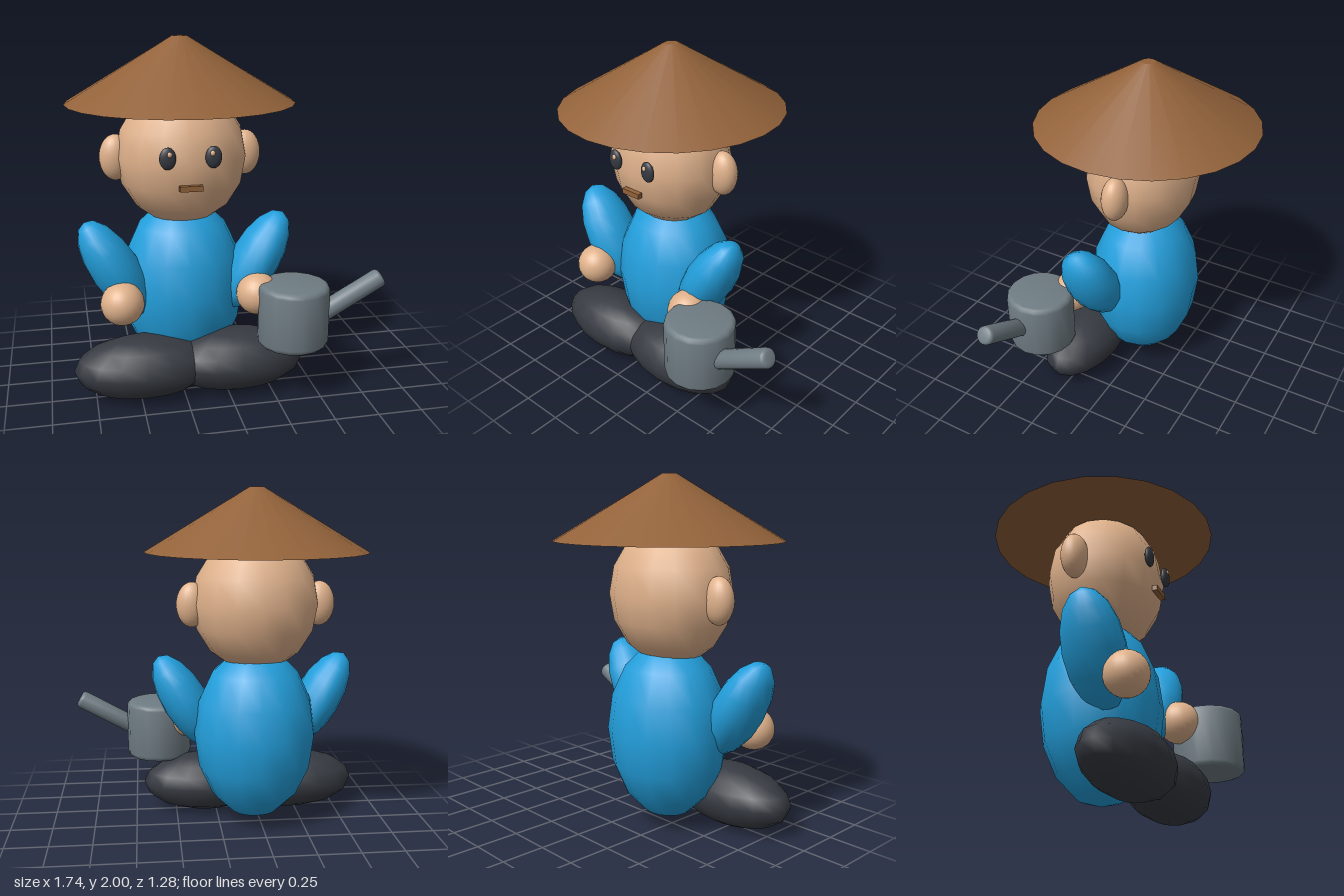
import * as THREE from 'three';
import { toCreasedNormals } from 'three/addons/utils/BufferGeometryUtils.js';

const mat = (name, color) => {
  const m = new THREE.MeshStandardMaterial({ color });
  m.name = name;
  return m;
};

export function createModel() {
  const skin = mat('skin', 0xdfb18b);
  const blue = mat('blue shirt', 0x239fdc);
  const dark = mat('dark cloth', 0x363a41);
  const straw = mat('brown straw', 0x92623a);
  const metal = mat('grey metal', 0x6f7c83);

  const model = new THREE.Group();
  model.name = 'seatedGardener';
  const figure = new THREE.Group(); // everything symmetrical, centred on its own x = 0
  figure.name = 'figure';
  figure.position.x = -0.21;
  model.add(figure);

  const add = (parent, name, geometry, material, x, y, z) => {
    const mesh = new THREE.Mesh(geometry, material);
    mesh.name = name;
    mesh.position.set(x, y, z);
    parent.add(mesh);
    return mesh;
  };
  const coarse = new THREE.SphereGeometry(1, 16, 8);
  const fine = new THREE.SphereGeometry(1, 24, 16);
  const ellipsoid = (name, geometry, material, pos, radii) => {
    const mesh = add(figure, name, geometry, material, ...pos);
    mesh.scale.set(...radii);
    return mesh;
  };

  // Cylinder with rounded rims, standing on y = 0
  const roundedCylinder = (r, h, bevel, sides) => {
    const pts = [new THREE.Vector2(0, 0)];
    for (const [cy, start] of [[bevel, -Math.PI / 2], [h - bevel, 0]]) {
      for (let i = 0; i <= 3; i++) {
        const a = start + (i / 3) * Math.PI / 2;
        pts.push(new THREE.Vector2(r - bevel + bevel * Math.cos(a), cy + bevel * Math.sin(a)));
      }
    }
    pts.push(new THREE.Vector2(0, h));
    return toCreasedNormals(new THREE.LatheGeometry(pts, sides), 0.7);
  };

  // Torso, head and hat
  ellipsoid('torso', coarse, blue, [0, 0.57, 0], [0.36, 0.52, 0.33]);
  ellipsoid('head', coarse, skin, [0, 1.345, 0.02], [0.37, 0.4, 0.325]);
  add(figure, 'hat', new THREE.CylinderGeometry(0.04, 0.64, 0.36, 24), straw, 0, 1.82, 0);

  // Mouth
  add(figure, 'mouth', new THREE.BoxGeometry(0.125, 0.03, 0.03), straw, 0, 1.225, 0.342);

  // Mirrored parts
  for (const [side, s] of [['left', 1], ['right', -1]]) {
    ellipsoid(side + 'Ear', fine, skin, [s * 0.37, 1.34, 0], [0.09, 0.13, 0.073]);
    ellipsoid(side + 'Eye', fine, dark, [s * 0.123, 1.39, 0.338], [0.045, 0.06, 0.022]);
    ellipsoid(side + 'EyeGlint', fine, skin, [s * 0.115, 1.413, 0.352], [0.014, 0.016, 0.012]);
    const arm = ellipsoid(side + 'Arm', coarse, blue, [s * 0.405, 0.735, 0.143], [0.138, 0.32, 0.17]);
    arm.rotation.z = -s * Math.PI / 6;
    ellipsoid(side + 'Hand', fine, skin, [s * 0.38, 0.587, 0.305], [0.12, 0.12, 0.12]);
    ellipsoid(side + 'Leg', coarse, dark, [s * 0.265, 0.183, 0.265], [0.395, 0.18, 0.212]);
  }

  // Watering can with slanted spout
  const can = new THREE.Group();
  can.name = 'wateringCan';
  model.add(can);
  add(can, 'canBody', roundedCylinder(0.2, 0.355, 0.03, 16), metal, 0.35, 0.32, 0.413);
  const from = new THREE.Vector3(0.45, 0.467, 0.447);
  const to = new THREE.Vector3(0.848, 0.69, 0.447);
  const dir = to.clone().sub(from);
  const spout = add(can, 'spout', roundedCylinder(0.055, dir.length(), 0.022, 16), metal, from.x, from.y, from.z);
  spout.quaternion.setFromUnitVectors(new THREE.Vector3(0, 1, 0), dir.normalize());

  return model;
}
